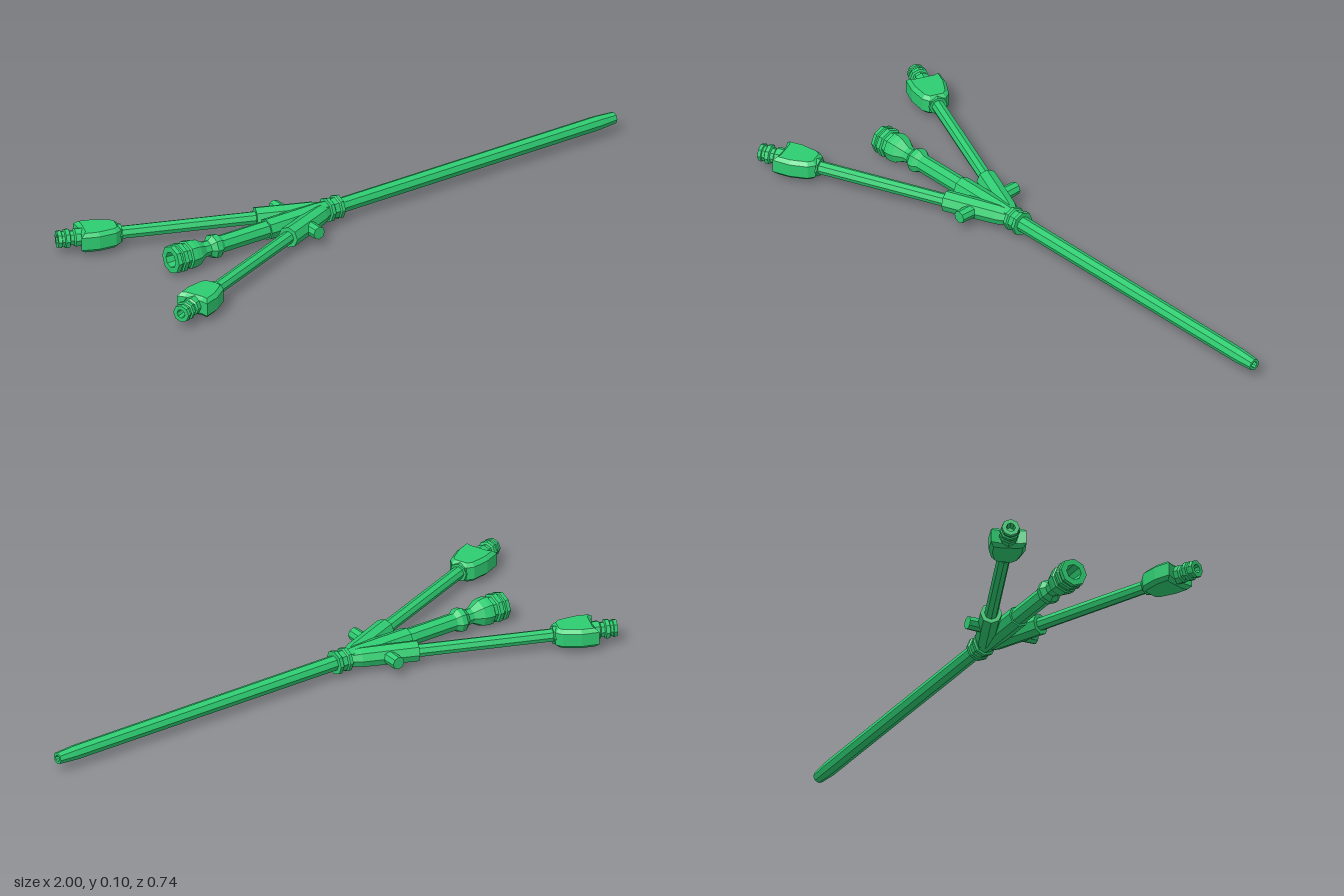
import * as THREE from 'three';

const green = new THREE.MeshStandardMaterial({ color: 0x2ecc71, flatShading: true, side: THREE.DoubleSide });
const AXIS = 0.05; // height of every tube's centre line
const SPLIT = -0.155; // x where the branches meet

// Eight-sided turned part along the -x axis; profile is [distance, radius]
function turned(name, profile) {
  const geo = new THREE.LatheGeometry(profile.map(([d, r]) => new THREE.Vector2(r, d)), 8);
  geo.rotateZ(Math.PI / 2);
  const mesh = new THREE.Mesh(geo, green);
  mesh.name = name;
  return mesh;
}

// Winged clamp: bevelled plan outline, swept out towards the arm's end
function clamp() {
  const half = [[0.695, 0.028], [0.715, 0.046], [0.775, 0.06], [0.835, 0.058], [0.828, 0.03]];
  const outline = [...half, ...half.map(([u, n]) => [u, -n]).reverse()];
  const bevel = 0.012;
  const shape = new THREE.Shape(outline.map(([u, n]) => new THREE.Vector2(-u, n)));
  const geo = new THREE.ExtrudeGeometry(shape, {
    depth: 0.044, bevelEnabled: true, bevelThickness: bevel, bevelSize: bevel, bevelOffset: -bevel, bevelSegments: 1,
  });
  geo.translate(0, 0, -0.022);
  geo.rotateX(Math.PI / 2);
  const mesh = new THREE.Mesh(geo, green);
  mesh.name = 'clamp';
  return mesh;
}

// One angled branch: sleeve, tube, clamp and ridged end fitting
function sideArm(side) {
  const arm = new THREE.Group();
  arm.name = side > 0 ? 'frontArm' : 'backArm';
  arm.add(
    turned('armSleeve', [[0, 0], [0, 0.025], [0.05, 0.034], [0.24, 0.036], [0.24, 0.02]]),
    turned('armTube', [[0.2, 0.022], [0.84, 0.022]]),
    clamp(),
    turned('armFitting', [
      [0.69, 0], [0.69, 0.031], [0.845, 0.031], [0.85, 0.025], [0.862, 0.025], [0.865, 0.033], [0.878, 0.033],
      [0.881, 0.027], [0.89, 0.027], [0.892, 0.031], [0.904, 0.029], [0.904, 0.015], [0.87, 0.013], [0.87, 0],
    ]),
  );
  arm.position.set(SPLIT, AXIS, 0);
  arm.rotation.y = side * THREE.MathUtils.degToRad(22.2);
  return arm;
}

export function createModel() {
  const model = new THREE.Group();
  model.name = 'branchedCatheter';

  // Long tapered tube with an open tip
  const tube = turned('mainTube', [
    [-1, 0.011], [-1, 0.02], [-0.93, 0.025], [0.12, 0.026],
  ]);
  const lumen = turned('tipOpening', [[-0.9, 0], [-0.9, 0.01], [-1, 0.011]]);

  // Ridged collar at the junction
  const collar = turned('collar', [
    [0.108, 0.02], [0.108, 0.041], [0.12, 0.041], [0.124, 0.036], [0.142, 0.036],
    [0.146, 0.041], [0.158, 0.041], [0.162, 0.03], [0.2, 0.03],
  ]);

  // Straight middle branch and its connector
  const sleeve = turned('middleSleeve', [[0.15, 0], [0.15, 0.032], [0.2, 0.036], [0.4, 0.036], [0.4, 0.02]]);
  const middle = turned('middleConnector', [
    [0.38, 0.03], [0.585, 0.03], [0.6, 0.041], [0.618, 0.041], [0.635, 0.027], [0.655, 0.027], [0.685, 0.045],
    [0.705, 0.049], [0.722, 0.049], [0.726, 0.043], [0.738, 0.043], [0.742, 0.05], [0.757, 0.05],
    [0.76, 0.044], [0.766, 0.044], [0.769, 0.049], [0.783, 0.047], [0.783, 0.027], [0.72, 0.022], [0.72, 0],
  ]);
  for (const part of [tube, lumen, collar, sleeve, middle]) {
    part.position.y = AXIS;
    model.add(part);
  }

  for (const side of [1, -1]) {
    model.add(sideArm(side));
    // Stubby tab standing out sideways from the hub
    const tab = new THREE.Mesh(new THREE.CylinderGeometry(0.022, 0.024, 0.085, 8), green);
    tab.name = side > 0 ? 'frontTab' : 'backTab';
    tab.rotation.x = side * Math.PI / 2;
    tab.position.set(-0.277, AXIS, side * 0.083);
    model.add(tab);
  }
  return model;
}
